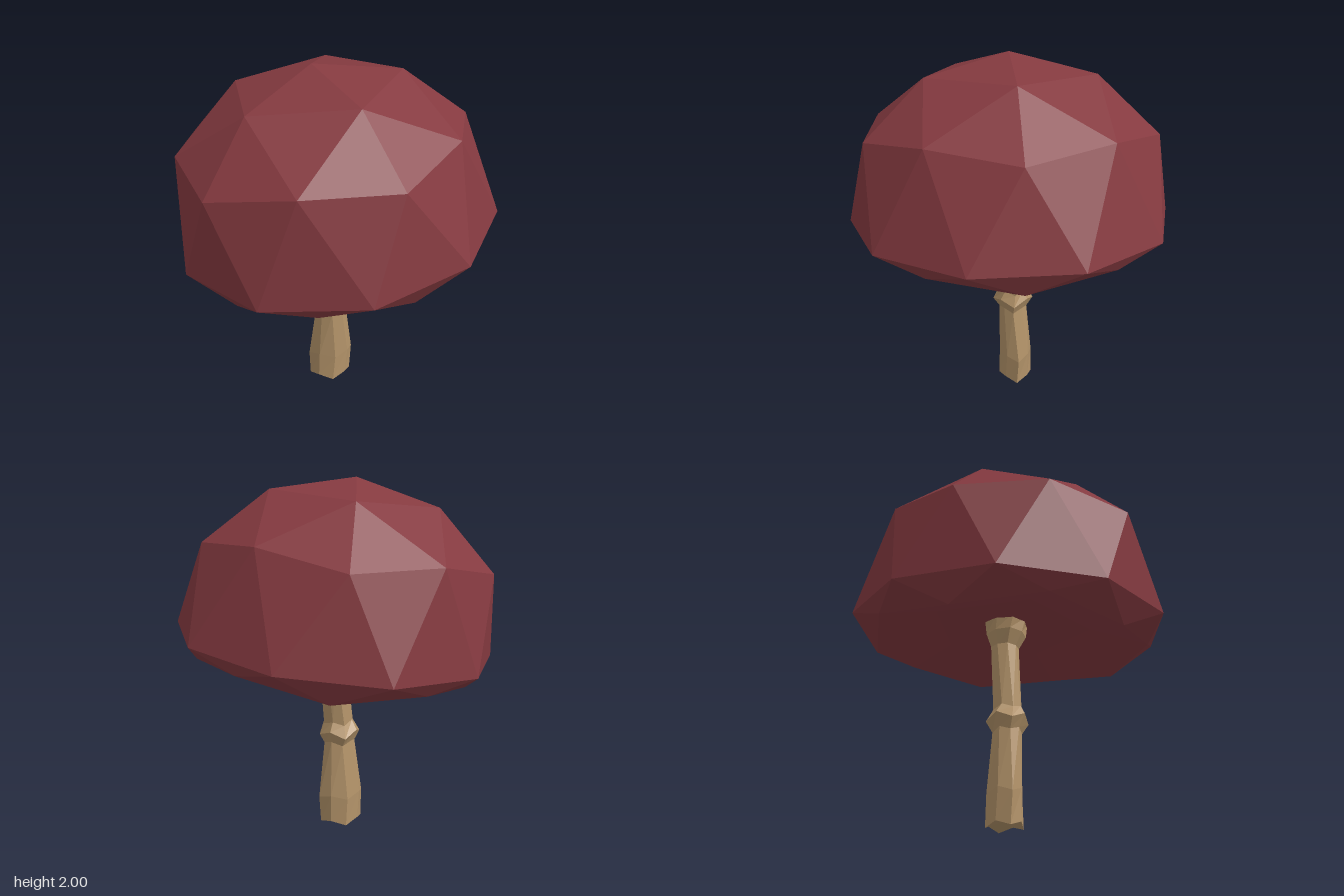
import * as THREE from 'three';

const V = (x, y, z) => new THREE.Vector3(x, y, z);

// Faceted mesh from a list of triangle corners
function facetMesh(name, points, color) {
  const geo = new THREE.BufferGeometry().setFromPoints(points);
  geo.computeVertexNormals();
  const mesh = new THREE.Mesh(geo, new THREE.MeshStandardMaterial({ color, flatShading: true }));
  mesh.name = name;
  return mesh;
}

// One geodesic half of the cap: pole, a ring of 5, a mixed ring of 10, then the rim of 10.
// Each ring is [radius, height]; step turns the half by multiples of 36 degrees.
function capHalf({ pole, inner, corner, mid, shift, step, flip }) {
  const out = [];
  const tri = (a, b, c) => (flip ? out.push(a, c, b) : out.push(a, b, c));
  const at = ([r, y], k, dx = shift) => {
    const a = (k + step) * Math.PI / 5;
    return V(r * Math.cos(a) + dx, y, -r * Math.sin(a));
  };
  const top = V(shift, pole, 0);
  const ring = (i) => at(inner, 2 * i);
  const mixed = (k) => at(k % 2 ? mid : corner, k);
  const rim = (k) => at([0.88, 0], k + 0.5, 0);
  for (let i = 0; i < 5; i++) {
    tri(top, ring(i), ring(i + 1));
    tri(ring(i), mixed(2 * i + 1), ring(i + 1));
    tri(ring(i), mixed(2 * i), mixed(2 * i + 1));
    tri(ring(i), mixed(2 * i - 1), mixed(2 * i));
  }
  for (let k = 0; k < 10; k++) {
    tri(mixed(k), rim(k - 1), rim(k));
    tri(mixed(k), rim(k), mixed(k + 1));
  }
  return out;
}

function createCap() {
  const cap = new THREE.Group();
  cap.name = 'cap';
  const color = 0x853a40;
  cap.add(facetMesh('capDome', capHalf({
    pole: 0.88, inner: [0.462, 0.775], corner: [0.787, 0.48], mid: [0.749, 0.53],
    shift: -0.022, step: 0, flip: false,
  }), color));
  // Lip turned under, then a shallow hollow
  cap.add(facetMesh('capUnderside', capHalf({
    pole: 0.06, inner: [0.46, 0.01], corner: [0.785, -0.08], mid: [0.755, -0.135],
    shift: 0, step: 1, flip: true,
  }), color));
  cap.position.y = 1.125;
  cap.rotation.z = 0.113;
  return cap;
}

function createStem() {
  const sides = 8;
  // [y, centre x, centre z, radius x, radius z, up-down zigzag]
  const sections = [
    [0.012, -0.03, -0.03, 0.125, 0.1, 0.012],
    [0.18, -0.027, -0.03, 0.135, 0.098, 0.012],
    [0.51, -0.025, -0.015, 0.09, 0.08, 0.01],
    [0.575, -0.026, -0.015, 0.12, 0.117, 0.018],
    [0.635, -0.02, -0.012, 0.09, 0.082, 0.01],
    [1.02, 0.018, -0.018, 0.078, 0.08, 0],
    [1.1, 0.02, -0.01, 0.115, 0.115, 0],
    [1.19, 0.02, -0.01, 0.13, 0.13, 0],
  ];
  const point = (j, k) => {
    const [y, cx, cz, rx, rz, zig] = sections[j];
    const odd = k % 2;
    const a = (k / sides) * Math.PI * 2 + 0.1 * Math.sin(j * 2);
    const r = odd ? 0.93 : 1;
    return V(cx + rx * r * Math.cos(a), y + (odd ? zig : -zig), cz - rz * r * Math.sin(a));
  };
  const out = [];
  const last = sections.length - 1;
  const base = V(-0.03, 0.04, -0.03), top = V(0.02, 1.19, -0.01);
  for (let k = 0; k < sides; k++) {
    for (let j = 0; j < last; j++) {
      const a = point(j, k), b = point(j, k + 1), c = point(j + 1, k + 1), d = point(j + 1, k);
      out.push(a, b, c, a, c, d);
    }
    out.push(base, point(0, k + 1), point(0, k));
    out.push(top, point(last, k), point(last, k + 1));
  }
  return facetMesh('stem', out, 0xb4946a);
}

export function createModel() {
  const model = new THREE.Group();
  model.name = 'mushroom';
  model.add(createCap(), createStem());
  return model;
}
